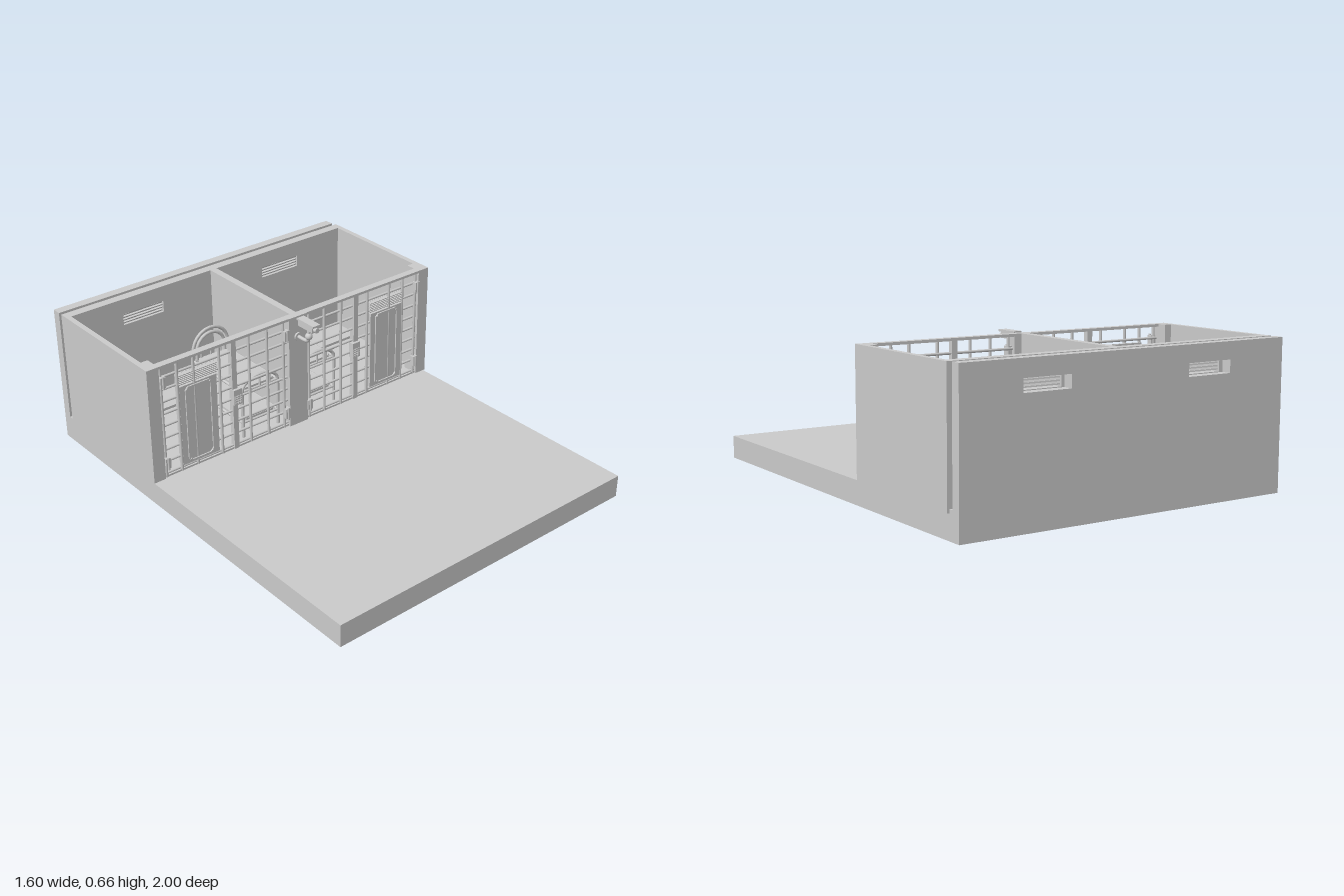
import * as THREE from 'three';

const material = new THREE.MeshStandardMaterial({ color: 0xcccccc, flatShading: true, side: THREE.DoubleSide });
const smooth = new THREE.MeshStandardMaterial({ color: 0xcccccc });

function add(group, name, geometry, mat = material) {
  const mesh = new THREE.Mesh(geometry, mat);
  mesh.name = name;
  group.add(mesh);
  return mesh;
}

// Box given by its limits on each axis
function box(group, name, x0, x1, y0, y1, z0, z1) {
  const mesh = add(group, name, new THREE.BoxGeometry(x1 - x0, y1 - y0, z1 - z0));
  mesh.position.set((x0 + x1) / 2, (y0 + y1) / 2, (z0 + z1) / 2);
  return mesh;
}

// Round bar between two points
function bar(group, name, a, b, r) {
  const p = new THREE.Vector3(...a), q = new THREE.Vector3(...b);
  const mesh = add(group, name, new THREE.CylinderGeometry(r, r, p.distanceTo(q), 10), smooth);
  mesh.position.copy(p).add(q).multiplyScalar(0.5);
  mesh.quaternion.setFromUnitVectors(new THREE.Vector3(0, 1, 0), q.sub(p).normalize());
  return mesh;
}

function tube(group, name, points, r) {
  const curve = new THREE.CatmullRomCurve3(points.map(p => new THREE.Vector3(...p)));
  return add(group, name, new THREE.TubeGeometry(curve, 32, r, 8), smooth);
}

function rectangle(path, x0, x1, y0, y1, c = 0) {
  path.moveTo(x0 + c, y0);
  path.lineTo(x1 - c, y0);
  if (c) path.lineTo(x1, y0 + c);
  path.lineTo(x1, y1 - c);
  if (c) path.lineTo(x1 - c, y1);
  path.lineTo(x0 + c, y1);
  if (c) path.lineTo(x0, y1 - c);
  path.lineTo(x0, y0 + c);
  path.closePath();
  return path;
}

// Upright plate with rectangular holes; holes are [x0, x1, y0, y1, corner]
function plate(group, name, x0, x1, y0, y1, z0, z1, holes, corner = 0) {
  const shape = rectangle(new THREE.Shape(), x0, x1, y0, y1, corner);
  holes.forEach(h => shape.holes.push(rectangle(new THREE.Path(), ...h)));
  const mesh = add(group, name, new THREE.ExtrudeGeometry(shape, { depth: z1 - z0, bevelEnabled: false }));
  mesh.position.z = z0;
  return mesh;
}

const FLOOR = 0.105, TOP = 0.66;
const VENTS = [[-0.51, -0.29, 0.53, 0.585], [0.29, 0.51, 0.53, 0.585]];

function buildShell(root) {
  const g = new THREE.Group();
  g.name = 'shell';
  root.add(g);
  box(g, 'baseSlab', -0.8, 0.79, 0, FLOOR, -1, 1);
  plate(g, 'outerBackWall', -0.8, 0.79, FLOOR, TOP, -1, -0.955, VENTS);
  box(g, 'gapFloor', -0.8, 0.79, FLOOR, 0.12, -0.955, -0.935);
  plate(g, 'innerBackWall', -0.8, 0.8, FLOOR, TOP, -0.935, -0.89, VENTS);
  box(g, 'rightWall', -0.8, -0.775, FLOOR, TOP, -0.89, -0.25);
  box(g, 'leftWall', 0.775, 0.8, FLOOR, TOP, -0.89, -0.25);
  box(g, 'divider', -0.015, 0.02, FLOOR, TOP, -0.89, -0.28);
  box(g, 'centrePost', -0.05, 0.055, FLOOR, TOP, -0.285, -0.247);
  for (const s of [-1, 1]) {
    const post = box(g, 'cornerPost', 0.74, 0.776, FLOOR, TOP, -0.33, -0.25);
    post.position.x *= s;
  }
  box(g, 'frontBeam', -0.75, 0.75, 0.648, TOP, -0.285, -0.25);
  box(g, 'rearLedge', -0.775, 0.775, FLOOR, 0.118, -0.89, -0.74);
  // Tilted slats in the rear vents
  for (const [x0, x1, y0, y1] of VENTS)
    for (let i = 0; i < 4; i++) {
      const y = y0 + (i + 0.5) * (y1 - y0) / 4;
      box(g, 'ventSlat', x0, x1, y - 0.003, y + 0.003, -0.925, -0.9).rotation.x = 0.15;
    }
}

// Barred front of one cell, built on the +x side
function buildFront() {
  const g = new THREE.Group();
  g.name = 'barredFront';
  const z = -0.268;
  for (const x of [0.073, 0.165, 0.265, 0.425, 0.56, 0.645, 0.728])
    bar(g, 'verticalBar', [x, FLOOR, z + 0.006], [x, 0.65, z + 0.006], 0.007);
  for (let i = 0; i < 9; i++) {
    const y = 0.12 + i * 0.0595;
    bar(g, 'horizontalBar', [0.05, y, z], [0.745, y, z], 0.006);
  }
  box(g, 'doorJamb', 0.338, 0.364, FLOOR, 0.65, z - 0.012, z + 0.014);
  box(g, 'bottomRail', 0.05, 0.745, FLOOR, 0.114, z - 0.01, z + 0.01);
  for (const x of [0.052, 0.714])
    for (const y of [0.157, 0.557]) {
      box(g, 'hinge', x, x + 0.026, y, y + 0.05, -0.265, -0.24);
      bar(g, 'hingePin', [x + 0.013, y - 0.006, -0.241], [x + 0.013, y + 0.056, -0.241], 0.006);
    }

  // Solid panel with a raised frame and corner bolts
  box(g, 'doorPanel', 0.445, 0.64, 0.13, 0.522, -0.288, -0.257);
  plate(g, 'panelFrame', 0.473, 0.612, 0.138, 0.514, -0.257, -0.251, [[0.481, 0.604, 0.146, 0.506, 0.014]], 0.014);
  for (const x of [0.484, 0.601])
    for (const y of [0.15, 0.502])
      bar(g, 'panelBolt', [x, y, -0.258], [x, y, -0.248], 0.006);

  // Louvre above the panel
  box(g, 'louvreBack', 0.44, 0.64, 0.53, 0.582, -0.288, -0.272);
  for (let i = 0; i < 6; i++) {
    const y = 0.535 + i * 0.0085;
    box(g, 'louvreSlat', 0.44, 0.64, y - 0.002, y + 0.002, -0.276, -0.257).rotation.x = 0.3;
  }

  // Lock with keypad
  box(g, 'lockBox', 0.322, 0.366, 0.335, 0.412, -0.27, -0.241);
  for (let r = 0; r < 4; r++)
    for (let c = 0; c < 3; c++) {
      const x = 0.327 + c * 0.012, y = 0.341 + r * 0.011;
      box(g, 'lockKey', x, x + 0.009, y, y + 0.008, -0.242, -0.237);
    }
  return g;
}

// Arched end of a bunk, with its two posts in one bent tube
function bedEnd(g, name, w, z, spring, top) {
  const points = [[-w, FLOOR, z], [-w, (FLOOR + spring) / 2, z]];
  for (let i = 0; i <= 12; i++) {
    const a = Math.PI * (1 - i / 12);
    points.push([w * Math.cos(a), spring + (top - spring) * Math.sin(a), z]);
  }
  points.push([w, (FLOOR + spring) / 2, z], [w, FLOOR, z]);
  tube(g, name, points, 0.008);
}

function buildBunk() {
  const g = new THREE.Group();
  g.name = 'bunkBed';
  const w = 0.1, head = -0.69, foot = -0.312;
  bedEnd(g, 'headArch', w, head, 0.385, 0.487);
  bedEnd(g, 'innerHeadArch', w - 0.022, head, 0.385, 0.462);
  bedEnd(g, 'footArch', w, foot, 0.345, 0.4);
  for (const z of [head, foot]) {
    for (const y of [0.18, 0.34, 0.385])
      bar(g, 'endRail', [-w, y, z], [w, y, z], 0.006);
    for (const x of [-0.055, 0, 0.055])
      bar(g, 'endSpindle', [x, 0.34, z], [x, 0.385, z], 0.005);
  }
  for (const y of [0.18, 0.34]) {
    // Mattress lying flat with cut corners
    const shape = rectangle(new THREE.Shape(), -0.093, 0.093, 0.322, 0.68, 0.018);
    const mattress = add(g, 'mattress', new THREE.ExtrudeGeometry(shape, { depth: 0.022, bevelEnabled: false }));
    mattress.rotation.x = -Math.PI / 2;
    mattress.position.set(0, y - 0.012, 0);
    for (const x of [-w, w])
      bar(g, 'sideRail', [x, y, head], [x, y, foot], 0.007);
  }
  return g;
}

function buildCamera(root) {
  const g = new THREE.Group();
  g.name = 'surveillanceCamera';
  root.add(g);
  box(g, 'cameraBody', -0.016, 0.016, 0.627, 0.658, -0.225, -0.125);
  box(g, 'cameraHood', -0.02, 0.02, 0.655, 0.664, -0.228, -0.112);
  bar(g, 'cameraLens', [0, 0.64, -0.13], [0, 0.64, -0.108], 0.012);
  bar(g, 'mountStem', [0, 0.58, -0.168], [0, 0.63, -0.168], 0.007);
  const ball = add(g, 'mountBall', new THREE.SphereGeometry(0.017, 16, 12), smooth);
  ball.position.set(0, 0.59, -0.168);
  tube(g, 'mountArm', [[0, 0.585, -0.168], [0, 0.565, -0.178], [0, 0.56, -0.2], [0, 0.56, -0.247]], 0.009);
  bar(g, 'wallPlate', [0, 0.56, -0.248], [0, 0.56, -0.239], 0.02);
}

export function createModel() {
  const root = new THREE.Group();
  root.name = 'cellBlock';
  buildShell(root);
  for (const s of [1, -1]) {
    const front = buildFront();
    front.scale.x = s;
    root.add(front);
    const bunk = buildBunk();
    bunk.position.x = s > 0 ? 0.163 : -0.172;
    root.add(bunk);
  }
  buildCamera(root);
  return root;
}
